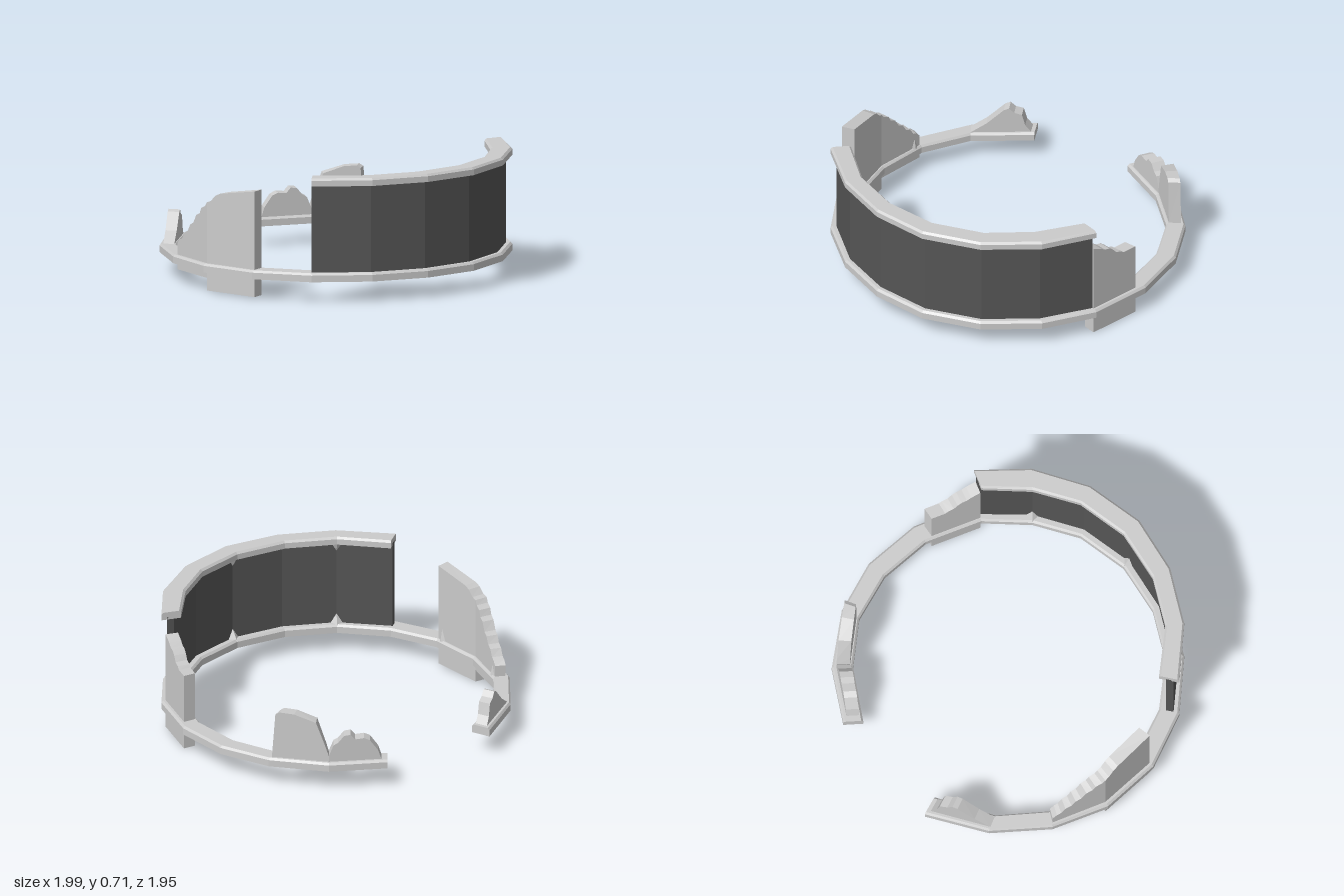
import * as THREE from 'three';
import { ConvexGeometry } from 'three/addons/geometries/ConvexGeometry.js';

// Plan of the broken ring: [outerX, outerZ, innerX, innerZ] from right back, round the front, to left back
const RING = [
  [0.37, -0.96, 0.30, -0.87], [0.66, -0.79, 0.585, -0.695], [0.88, -0.52, 0.78, -0.475],
  [0.99, -0.22, 0.875, -0.20], [0.99, 0.12, 0.875, 0.11], [0.87, 0.47, 0.76, 0.43],
  [0.66, 0.72, 0.56, 0.64], [0.36, 0.90, 0.32, 0.79], [0.02, 0.97, 0.02, 0.85],
  [-0.31, 0.91, -0.285, 0.80], [-0.61, 0.75, -0.55, 0.66], [-0.85, 0.50, -0.755, 0.43],
  [-0.99, 0.18, -0.87, 0.16], [-1.0, -0.17, -0.88, -0.16], [-0.885, -0.49, -0.80, -0.445],
  [-0.665, -0.775, -0.62, -0.685], [-0.35, -0.98, -0.31, -0.87],
];

// Point on the ring: s = position along it (in vertices), t = 0 outer edge .. 1 inner edge
function at(s, t, y) {
  const i = Math.min(Math.floor(s), RING.length - 2);
  const p = RING[i].map((v, k) => THREE.MathUtils.lerp(v, RING[i + 1][k], s - i));
  return new THREE.Vector3(p[0] + (p[2] - p[0]) * t, y, p[1] + (p[3] - p[1]) * t);
}

// Extrude a shape, then bend every vertex onto the ring plan
function bend(points, depth, steps, rule) {
  const shape = new THREE.Shape(points.map(([x, y]) => new THREE.Vector2(x, y)));
  const geo = new THREE.ExtrudeGeometry(shape, { depth, steps, bevelEnabled: false });
  const pos = geo.attributes.position;
  for (let i = 0; i < pos.count; i++) {
    const p = rule(pos.getX(i), pos.getY(i), pos.getZ(i));
    pos.setXYZ(i, p.x, p.y, p.z);
  }
  geo.computeVertexNormals();
  return geo;
}

// Sweep a (t, y) section along ring vertices a..b
const sweep = (section, a, b) =>
  bend(section, b - a, b - a, (t, y, z) => at(Math.round(b - z), t, y));

// Ruined wall on one ring segment: skyline points (u, y), down to a base height
function wall(segment, skyline, base, t0 = 0.22, t1 = 0.85) {
  const first = skyline[0][0], last = skyline[skyline.length - 1][0];
  const outline = [[first, base], [last, base], ...skyline.slice().reverse()];
  return bend(outline, 1, 1, (u, y, v) => at(segment + u, t0 + (t1 - t0) * v, y));
}

// Slab section with chamfered top edges
const slab = (y0, y1) => [[0, y0], [1, y0], [1, y1 - 0.012], [0.9, y1], [0.1, y1], [0, y1 - 0.012]];

export function createModel() {
  const group = new THREE.Group();
  const stone = new THREE.MeshStandardMaterial({ color: 0xcccccc, flatShading: true });
  const dark = new THREE.MeshStandardMaterial({ color: 0x555555, flatShading: true });
  const add = (name, geo, mat = stone) => {
    const mesh = new THREE.Mesh(geo, mat);
    mesh.name = name;
    group.add(mesh);
  };

  // Base ring, front panel and its top rail
  add('baseRing', sweep(slab(0.115, 0.165), 0, 16));
  add('frontPanel', sweep([[0.28, 0.15], [0.65, 0.15], [0.65, 0.68], [0.28, 0.68]], 5, 11), dark);
  add('topRail', sweep(slab(0.665, 0.71), 5, 11));

  // Corner brackets behind the panel, top and bottom
  for (const i of [6, 8, 10]) {
    for (const [y, tip] of [[0.16, 0.225], [0.67, 0.605]]) {
      add('cornerBracket', new ConvexGeometry([
        at(i - 0.13, 0.62, y), at(i + 0.13, 0.62, y), at(i, 0.97, y), at(i, 0.62, tip),
      ]));
    }
  }

  // Stepped wall beside the panel, reaching the floor
  add('leftSideWall', wall(4, [[0.14, 0.45], [0.38, 0.45], [0.43, 0.465], [0.53, 0.475],
    [0.6, 0.505], [0.67, 0.525], [0.76, 0.53], [0.84, 0.55], [1, 0.575]], 0));

  // Tall broken wall on the other side, in two segments
  add('rightTallWall', wall(12, [[0, 0.615], [0.72, 0.575], [0.82, 0.56], [0.92, 0.525], [1, 0.515]], 0.008));
  add('rightCrumbledWall', wall(13, [[0, 0.515], [0.06, 0.49], [0.18, 0.475], [0.24, 0.44], [0.35, 0.425],
    [0.45, 0.375], [0.55, 0.36], [0.63, 0.32], [0.74, 0.305], [0.82, 0.265], [0.9, 0.255], [0.98, 0.23]], 0.08));

  // Rubble at the feet of the broken wall
  for (const [s, h] of [[12.1, 0.26], [13.85, 0.25]]) {
    add('rubble', new ConvexGeometry([
      at(s - 0.1, 0.8, 0.16), at(s + 0.12, 0.8, 0.16), at(s, 0.98, 0.16), at(s, 0.8, h),
    ]));
  }

  // Ruins on the back ends of the ring
  add('leftBackWall', wall(1, [[0, 0.2], [0.05, 0.25], [0.22, 0.40], [0.6, 0.44], [0.85, 0.445],
    [0.92, 0.43], [0.98, 0.16]], 0.14));
  add('leftBackRuin', wall(0, [[0.1, 0.16], [0.16, 0.22], [0.3, 0.285], [0.4, 0.3], [0.55, 0.295],
    [0.63, 0.325], [0.74, 0.32], [0.84, 0.28], [0.92, 0.265], [1, 0.2]], 0.14));
  add('rightBackRuin', wall(15, [[0, 0.165], [0.25, 0.225], [0.52, 0.315], [0.6, 0.325], [0.68, 0.295],
    [0.8, 0.28], [0.85, 0.21], [0.94, 0.165]], 0.14));

  return group;
}
